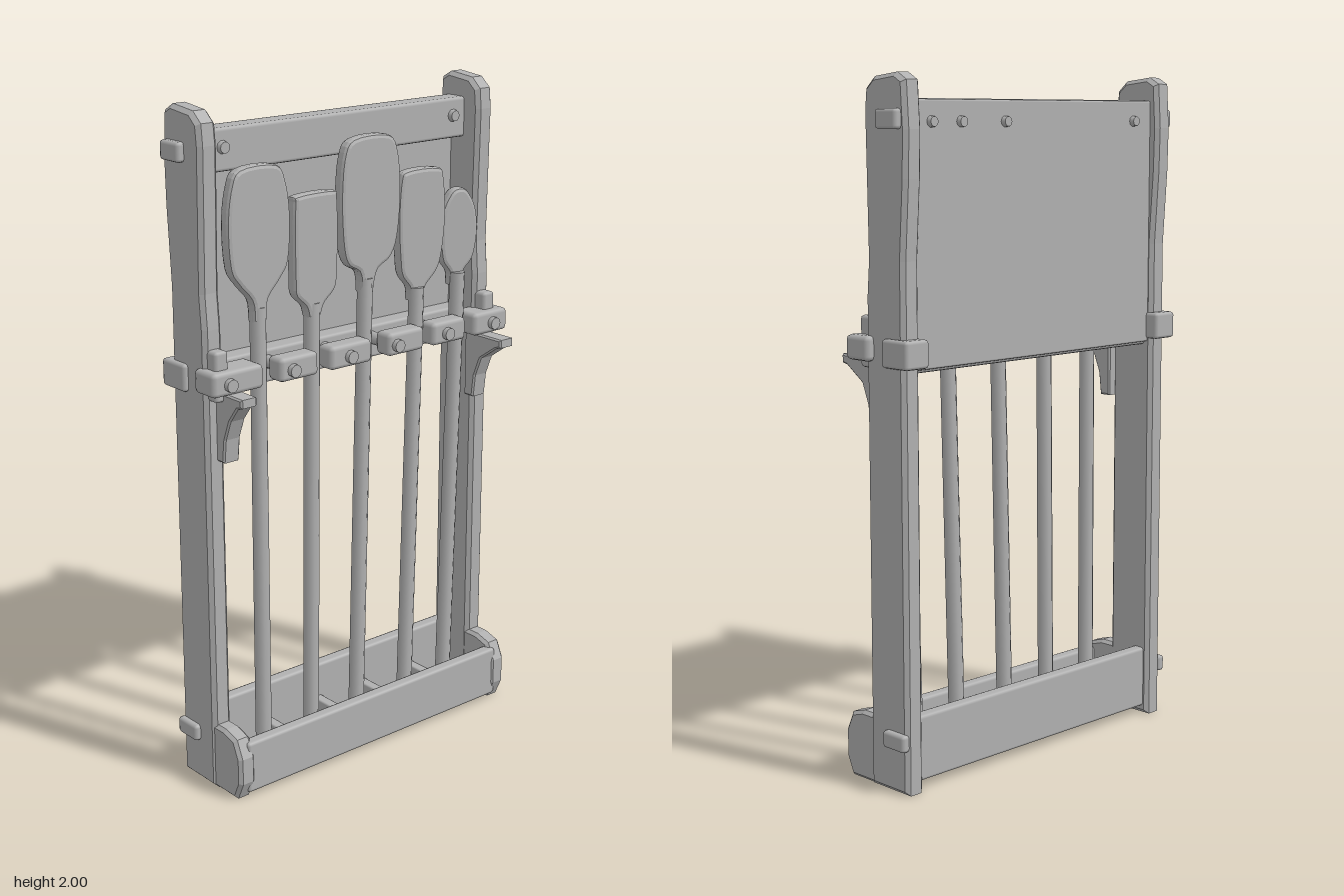
import * as THREE from 'three';
import { RoundedBoxGeometry } from 'three/addons/geometries/RoundedBoxGeometry.js';

export function createModel() {
  const model = new THREE.Group();
  model.name = 'paddleRack';
  const wood = new THREE.MeshStandardMaterial({ color: 0xb0b0b0 });
  wood.name = 'plain grey';

  const add = (name, geometry, parent = model) => {
    const mesh = new THREE.Mesh(geometry, wood);
    mesh.name = name;
    parent.add(mesh);
    return mesh;
  };

  // Worn plank given by its limits on each axis
  const plank = (name, x0, x1, y0, y1, z0, z1, r = 0.01) => {
    const size = [x1 - x0, y1 - y0, z1 - z0];
    const mesh = add(name, new RoundedBoxGeometry(...size, 1, Math.min(r, Math.min(...size) * 0.45)));
    mesh.position.set((x0 + x1) / 2, (y0 + y1) / 2, (z0 + z1) / 2);
    return mesh;
  };

  // Side profile in x and y, extruded along z with a bevelled edge
  const profile = (name, points, z0, z1, bevel) => {
    const shape = new THREE.Shape(points.map(([x, y]) => new THREE.Vector2(x, y)));
    const geometry = new THREE.ExtrudeGeometry(shape, {
      depth: z1 - z0 - 2 * bevel, bevelEnabled: true, bevelThickness: bevel,
      bevelSize: bevel, bevelOffset: -bevel, bevelSegments: 1,
    });
    const mesh = add(name, geometry);
    mesh.position.z = z0 + bevel;
    return mesh;
  };

  // Rod between two points
  const rod = (name, a, b, ra, rb, parent = model, sides = 10) => {
    const from = new THREE.Vector3(...a), to = new THREE.Vector3(...b);
    const dir = to.clone().sub(from);
    const mesh = add(name, new THREE.CylinderGeometry(rb, ra, dir.length(), sides), parent);
    mesh.position.copy(from).add(to).multiplyScalar(0.5);
    mesh.quaternion.setFromUnitVectors(new THREE.Vector3(0, 1, 0), dir.normalize());
    return mesh;
  };

  // Upright posts with a sloped, chipped top
  const postOutline = [
    [-0.138, 0.005], [0.02, 0.005], [0.02, 1.4], [0.012, 1.5], [0.02, 1.9], [0.014, 1.96],
    [-0.02, 1.99], [-0.11, 2.0], [-0.145, 1.98], [-0.153, 1.85], [-0.15, 1.72], [-0.136, 1.5],
  ];
  for (const s of [1, -1]) {
    const span = (a, b) => (s > 0 ? [a, b] : [-b, -a]);
    profile('post', postOutline, ...span(0.477, 0.54), 0.012);

    // Tenon ends showing on the outside of the post
    plank('topTenon', -0.135, -0.05, 1.85, 1.905, ...span(0.53, 0.562));
    plank('middleTenon', -0.165, -0.06, 1.21, 1.29, ...span(0.47, 0.555));
    plank('bottomTenon', -0.14, -0.05, 0.135, 0.185, ...span(0.53, 0.558));

    // Tray end
    profile('trayEnd', [
      [-0.04, 0.005], [0.11, 0.005], [0.135, 0.06], [0.135, 0.14], [0.11, 0.195], [0.06, 0.21], [-0.04, 0.21],
    ], ...span(0.478, 0.535), 0.01);

    // Strap in front of the post
    plank('strap', 0.0, 0.055, 1.2, 1.345, ...span(0.485, 0.53));

    // Curved bracket under the holder
    const reach = s > 0 ? 0.135 : 0.165;
    profile('bracket', [
      [0.01, 1.02], [0.048, 1.02], [0.056, 1.09], [0.08, 1.15], [reach - 0.02, 1.195],
      [reach, 1.2], [reach, 1.225], [0.01, 1.225],
    ], ...span(0.45, 0.505), 0.005);
  }

  // Back panel and cross rails
  plank('backPanel', -0.122, -0.095, 1.2, 1.93, -0.485, 0.485, 0.006);
  plank('topRail', -0.115, -0.04, 1.812, 1.932, -0.485, 0.485);
  plank('middleRail', -0.11, -0.04, 1.19, 1.29, -0.485, 0.485);

  // Nail heads on the panel and rail
  for (const z of [0.4, -0.14, -0.31, -0.42]) {
    rod('nailHead', [-0.136, 1.87, z], [-0.11, 1.87, z], 0.014, 0.018);
  }
  for (const z of [0.42, -0.43]) {
    rod('railPeg', [-0.045, 1.88, z], [-0.027, 1.88, z], 0.02, 0.016);
  }

  // Holder blocks between the handles, each on a peg
  const blocks = [[0.38, 0.555], [0.185, 0.322], [-0.015, 0.14], [-0.22, -0.08], [-0.39, -0.255], [-0.565, -0.425]];
  blocks.forEach(([z0, z1], i) => {
    const isEnd = i === 0 || i === blocks.length - 1;
    plank('holderBlock', isEnd ? -0.015 : 0.015, 0.078, 1.222, 1.293, z0, z1, 0.014);
    const z = isEnd ? Math.sign(z0) * 0.5 : [0.28, 0.07, -0.11, -0.31][i - 1];
    rod('holderPeg', [-0.05, 1.255, z], [0.094, 1.255, z], 0.019, 0.019);
  });

  // Open bottom tray with cross slats
  plank('trayFront', 0.09, 0.13, 0.02, 0.18, -0.5, 0.5);
  plank('trayBack', -0.122, -0.08, 0.03, 0.222, -0.485, 0.485);
  for (const z of [0.28, 0.07, -0.11, -0.31]) {
    plank('traySlat', -0.09, 0.1, 0.04, 0.115, z - 0.016, z + 0.016, 0.005);
  }

  // Paddle heads: [height, half width] from neck to tip
  const oval = [[1.4, 0.022], [1.46, 0.028], [1.51, 0.07], [1.56, 0.1], [1.68, 0.108], [1.78, 0.094], [1.83, 0.06]];
  const square = [[1.38, 0.022], [1.415, 0.035], [1.45, 0.072], [1.5, 0.079], [1.62, 0.081], [1.71, 0.078], [1.733, 0.065]];
  const broad = [[1.42, 0.022], [1.48, 0.034], [1.51, 0.08], [1.57, 0.103], [1.7, 0.112], [1.82, 0.1], [1.868, 0.062]];
  const spade = [[1.36, 0.022], [1.4, 0.03], [1.44, 0.064], [1.49, 0.078], [1.6, 0.087], [1.72, 0.079], [1.75, 0.055]];
  const leaf = [[1.38, 0.02], [1.42, 0.026], [1.46, 0.055], [1.54, 0.066], [1.61, 0.058], [1.655, 0.035], [1.672, 0.014]];
  const paddles = [
    { outline: oval, z: 0.358, foot: 0.362, neck: 0.358, x: 0.02, turn: 0 },
    { outline: square, z: 0.158, foot: 0.18, neck: 0.165, x: 0.02, turn: 0.03 },
    { outline: broad, z: -0.047, foot: 0, neck: -0.034, x: 0.018, turn: 0 },
    { outline: spade, z: -0.252, foot: -0.2, neck: -0.235, x: 0.01, turn: -0.08 },
    { outline: leaf, z: -0.412, foot: -0.367, neck: -0.402, x: 0.002, turn: -0.18 },
  ];
  for (const { outline, z, foot, neck, x, turn } of paddles) {
    const paddle = new THREE.Group();
    paddle.name = 'paddle';
    model.add(paddle);
    const base = outline[0][0];
    rod('handle', [0.022, 0.06, foot], [0.022, base + 0.04, neck], 0.024, 0.023, paddle);

    // The head leans so that its neck meets the handle
    const height = outline[outline.length - 1][0] - base;
    const shift = (y) => (z - neck) * Math.min(1, (y - base) / (height * 0.4));
    const right = outline.map(([y, w]) => new THREE.Vector2(w - shift(y), y));
    const left = outline.map(([y, w]) => new THREE.Vector2(-w - shift(y), y)).reverse();
    const edge = new THREE.SplineCurve([...right, ...left]);
    const geometry = new THREE.ExtrudeGeometry(new THREE.Shape(edge.getPoints(48)), {
      depth: 0.018, bevelEnabled: true, bevelThickness: 0.011,
      bevelSize: 0.012, bevelOffset: -0.012, bevelSegments: 2,
    });
    geometry.translate(0, 0, -0.009);
    const head = add('paddleHead', geometry, paddle);
    head.position.set(x, 0, neck);
    head.rotation.y = Math.PI / 2 + turn;
  }

  return model;
}
